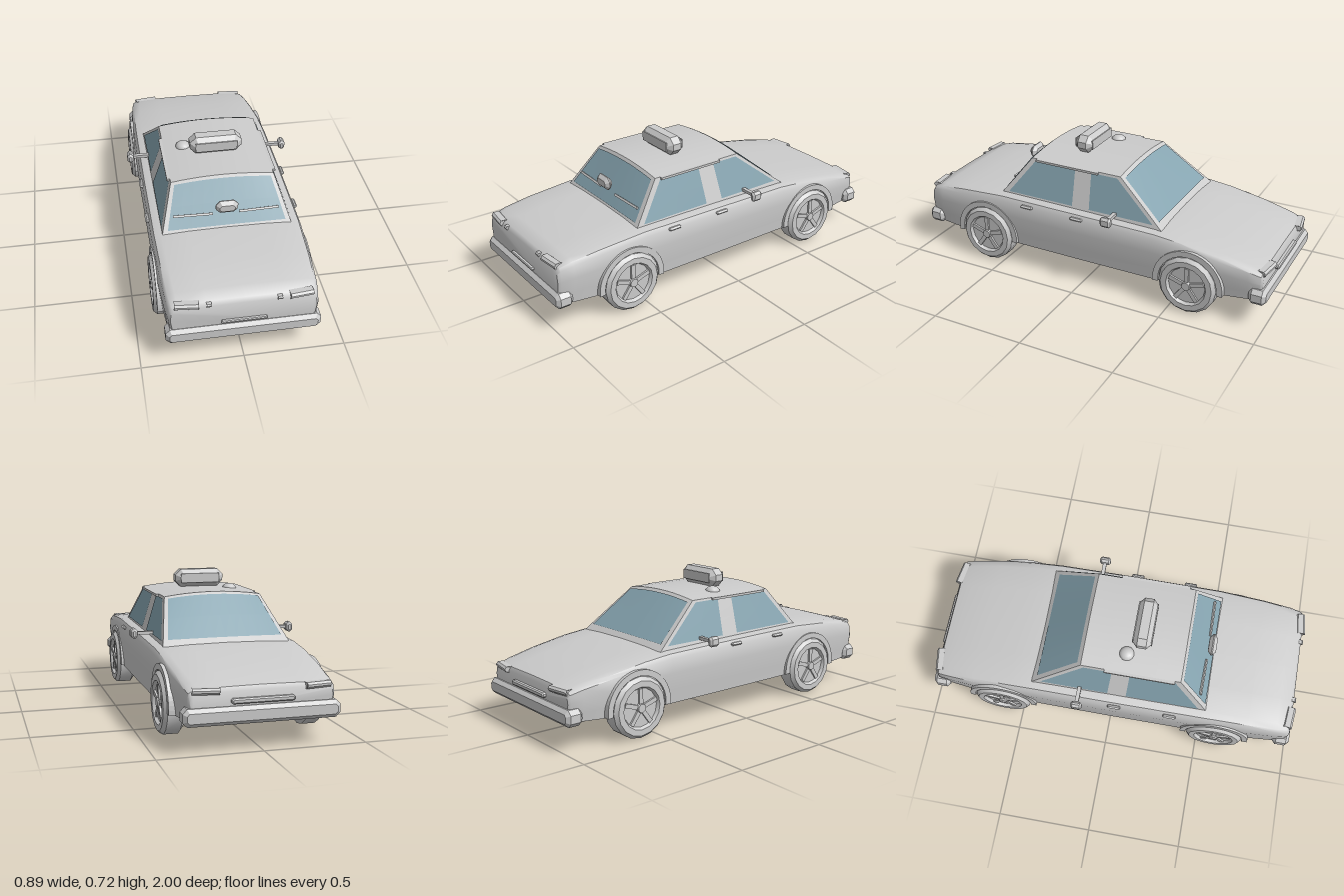
import * as THREE from 'three';
import { toCreasedNormals } from 'three/addons/utils/BufferGeometryUtils.js';

const paint = new THREE.MeshStandardMaterial({ color: 0xcccccc });
const glass = new THREE.MeshStandardMaterial({ color: 0x86a4b0, side: THREE.DoubleSide });
const { lerp } = THREE.MathUtils;

function add(parent, name, geometry, x = 0, y = 0, z = 0, material = paint) {
  const mesh = new THREE.Mesh(geometry, material);
  mesh.name = name;
  mesh.position.set(x, y, z);
  parent.add(mesh);
  return mesh;
}

// Box with all edges chamfered by c
function chamferBox(w, h, d, c) {
  const a = w / 2 - c, b = h / 2 - c, k = c * 0.6;
  const shape = new THREE.Shape([
    [a - k, -b], [a, -b + k], [a, b - k], [a - k, b],
    [-a + k, b], [-a, b - k], [-a, -b + k], [-a + k, -b],
  ].map(([x, y]) => new THREE.Vector2(x, y)));
  const g = new THREE.ExtrudeGeometry(shape, {
    depth: d - 2 * c, bevelEnabled: true, bevelSize: c, bevelThickness: c, bevelSegments: 1,
  });
  return g.translate(0, 0, -(d - 2 * c) / 2);
}

// Lower body: cross-sections [z, half width, bottom, top] joined from -z to +z
function bodyGeometry() {
  const stations = [
    [-0.975, 0.34, 0.17, 0.275], [-0.965, 0.35, 0.15, 0.295], [-0.9, 0.36, 0.14, 0.315],
    [-0.75, 0.375, 0.13, 0.345], [-0.55, 0.385, 0.13, 0.378], [-0.4, 0.388, 0.13, 0.393],
    [0, 0.39, 0.13, 0.4], [0.5, 0.388, 0.13, 0.404], [0.75, 0.38, 0.13, 0.386],
    [0.9, 0.37, 0.14, 0.368], [0.965, 0.36, 0.15, 0.35], [0.98, 0.35, 0.17, 0.33],
  ];
  const pos = [], idx = [];
  let n = 0;
  for (const [z, w, b, t] of stations) {
    const h = t - b;
    const half = [[w * 0.96, b], [w * 0.975, b + h * 0.25], [w, b + h * 0.6], [w * 0.985, b + h * 0.88],
      [w * 0.95, t - 0.01], [w * 0.86, t - 0.001], [w * 0.5, t + 0.004]];
    const ring = [...half, [0, t + 0.006], ...half.map(([x, y]) => [-x, y]).reverse()];
    n = ring.length;
    ring.forEach(([x, y]) => pos.push(x, y, z));
  }
  const last = (stations.length - 1) * n;
  for (let i = 0; i < last; i += n) {
    for (let j = 0; j < n; j++) {
      const k = (j + 1) % n;
      idx.push(i + j, i + k, i + n + k, i + j, i + n + k, i + n + j);
    }
  }
  for (let j = 1; j < n - 1; j++) idx.push(0, j + 1, j, last, last + j, last + j + 1);
  const g = new THREE.BufferGeometry();
  g.setAttribute('position', new THREE.Float32BufferAttribute(pos, 3));
  g.setIndex(idx);
  return toCreasedNormals(g, 0.7);
}

// Cabin surface: u across (-1..1), v up (0..1), w from back to front (0..1)
const zBack = v => lerp(-0.43, -0.165, v);
const zFront = v => lerp(0.525, 0.36, v);
const toV = y => (y - 0.39) / 0.215;
function cabinPoint(u, v, w) {
  return [u * lerp(0.332, 0.262, v), 0.39 + 0.215 * v + 0.02 * v * (1 - u * u), lerp(zBack(v), zFront(v), w)];
}

function moveVertices(g, rule) {
  const p = g.attributes.position;
  for (let i = 0; i < p.count; i++) p.setXYZ(i, ...rule(p.getX(i), p.getY(i), p.getZ(i)));
  g.computeVertexNormals();
  return g;
}

function cabinGeometry() {
  const g = new THREE.BoxGeometry(1, 1, 1, 10, 4, 4);
  return toCreasedNormals(moveVertices(g, (x, y, z) => cabinPoint(2 * x, y + 0.5, z + 0.5)), 0.4);
}

// Windscreen lying just outside the cabin; dir is +1 for front, -1 for back
function screenGeometry(dir) {
  return moveVertices(new THREE.PlaneGeometry(1, 1, 10, 2), (x, y) => {
    const v = lerp(0.12, 0.94, y + 0.5);
    const p = cabinPoint(dir * 2 * x * 0.925, v, dir > 0 ? 1 : 0);
    return [p[0], p[1] + 0.003, p[2] + dir * 0.004];
  });
}

// Side window given its bottom and top z ranges
function sideWindowGeometry(side, bottom, top) {
  return moveVertices(new THREE.PlaneGeometry(1, 1, 2, 2), (x, y) => {
    const t = y + 0.5, h = lerp(0.412, 0.595, t), v = toV(h);
    const z = lerp(lerp(bottom[0], top[0], t), lerp(bottom[1], top[1], t), 0.5 - side * x);
    return [side * (lerp(0.332, 0.262, v) + 0.004), h, z];
  });
}

function makeWheel() {
  const wheel = new THREE.Group();
  wheel.name = 'wheel';
  const profile = [[0, -0.055], [0.13, -0.055], [0.155, -0.035], [0.155, 0.037], [0.138, 0.055],
    [0.108, 0.055], [0.098, 0.039], [0, 0.039]].map(([r, y]) => new THREE.Vector2(r, y));
  const tyre = toCreasedNormals(new THREE.LatheGeometry(profile, 16), 0.45);
  add(wheel, 'tyre', tyre.rotateZ(-Math.PI / 2));
  for (let i = 0; i < 5; i++) {
    const spoke = new THREE.BoxGeometry(0.012, 0.085, 0.022).translate(0.043, 0.055, 0);
    add(wheel, 'spoke', spoke).rotation.x = i * Math.PI * 2 / 5;
  }
  add(wheel, 'hub', new THREE.CylinderGeometry(0.022, 0.028, 0.02, 10).rotateZ(-Math.PI / 2), 0.046);
  return wheel;
}

// Half-ring flare over a wheel
function archGeometry() {
  const shape = new THREE.Shape();
  shape.absarc(0, 0, 0.188, -0.1, Math.PI + 0.1, false);
  shape.absarc(0, 0, 0.158, Math.PI + 0.1, -0.1, true);
  const g = new THREE.ExtrudeGeometry(shape, { depth: 0.06, bevelEnabled: false, curveSegments: 14 });
  return g.translate(0, 0, -0.03).rotateY(Math.PI / 2);
}

export function createModel() {
  const car = new THREE.Group();
  car.name = 'car';
  add(car, 'body', bodyGeometry());
  add(car, 'cabin', cabinGeometry());
  add(car, 'frontWindow', screenGeometry(1), 0, 0, 0, glass);
  add(car, 'backWindow', screenGeometry(-1), 0, 0, 0, glass);

  for (const s of [1, -1]) {
    // Side glass, roof rail and door handles
    add(car, 'sideWindowFront', sideWindowGeometry(s, [0.085, 0.475], [0.095, 0.335]), 0, 0, 0, glass);
    add(car, 'sideWindowBack', sideWindowGeometry(s, [-0.38, -0.015], [-0.15, 0]), 0, 0, 0, glass);
    add(car, 'roofRail', new THREE.BoxGeometry(0.022, 0.012, 0.37), s * 0.267, 0.599, 0.145);
    for (const z of [0.33, 0.03]) add(car, 'doorHandle', chamferBox(0.02, 0.016, 0.07, 0.005), s * 0.386, 0.372, z);

    // Wing mirrors
    add(car, 'mirrorArm', new THREE.BoxGeometry(0.09, 0.016, 0.02), s * 0.37, 0.421, -0.165);
    add(car, 'mirror', chamferBox(0.034, 0.052, 0.06, 0.01), s * 0.427, 0.421, -0.165);

    // Wheels and arches
    for (const z of [0.59, -0.6]) {
      const wheel = makeWheel();
      wheel.position.set(s * 0.35, 0.155, z);
      if (s < 0) wheel.rotation.y = Math.PI;
      car.add(wheel);
      add(car, 'wheelArch', archGeometry(), s * 0.361, 0.155, z);
    }

    // Lamps at both ends
    add(car, 'frontLamp', chamferBox(0.138, 0.03, 0.05, 0.01), s * 0.272, 0.345, 0.965).rotation.y = s * 0.1;
    add(car, 'smallFrontLamp', chamferBox(0.038, 0.018, 0.03, 0.006), s * 0.168, 0.343, 0.975);
    add(car, 'backLamp', chamferBox(0.15, 0.03, 0.05, 0.01), s * 0.265, 0.285, -0.965).rotation.y = -s * 0.15;

    // Wiper strips on the front window
    const strip = add(car, 'wiper', new THREE.BoxGeometry(0.2, 0.012, 0.01), s * 0.168, 0.475, 0.475);
    strip.rotation.set(-0.63, 0, s * 0.02);

    // Bumpers
    add(car, 'bumper', chamferBox(0.75, 0.083, 0.09, 0.018), 0, 0.17, s * 0.955);
  }

  // Plate bars
  add(car, 'frontPlateBar', chamferBox(0.22, 0.015, 0.03, 0.004), 0, 0.232, 0.98);
  add(car, 'backPlateBar', chamferBox(0.3, 0.025, 0.03, 0.006), 0, 0.235, -0.98);

  // Roof sign with a raised panel on each face
  add(car, 'roofSign', chamferBox(0.27, 0.095, 0.1, 0.026), 0, 0.672, 0.13);
  for (const s of [1, -1]) add(car, 'signPanel', new THREE.BoxGeometry(0.215, 0.05, 0.006), 0, 0.672, 0.13 + s * 0.049);

  // Round roof lamp and the small hanging lamp before the front window
  add(car, 'roofLamp', new THREE.SphereGeometry(0.04, 14, 10).scale(1, 0.75, 1), -0.16, 0.611, 0.06);
  add(car, 'hangingLamp', chamferBox(0.112, 0.07, 0.042, 0.018), 0, 0.527, 0.495);
  return car;
}
